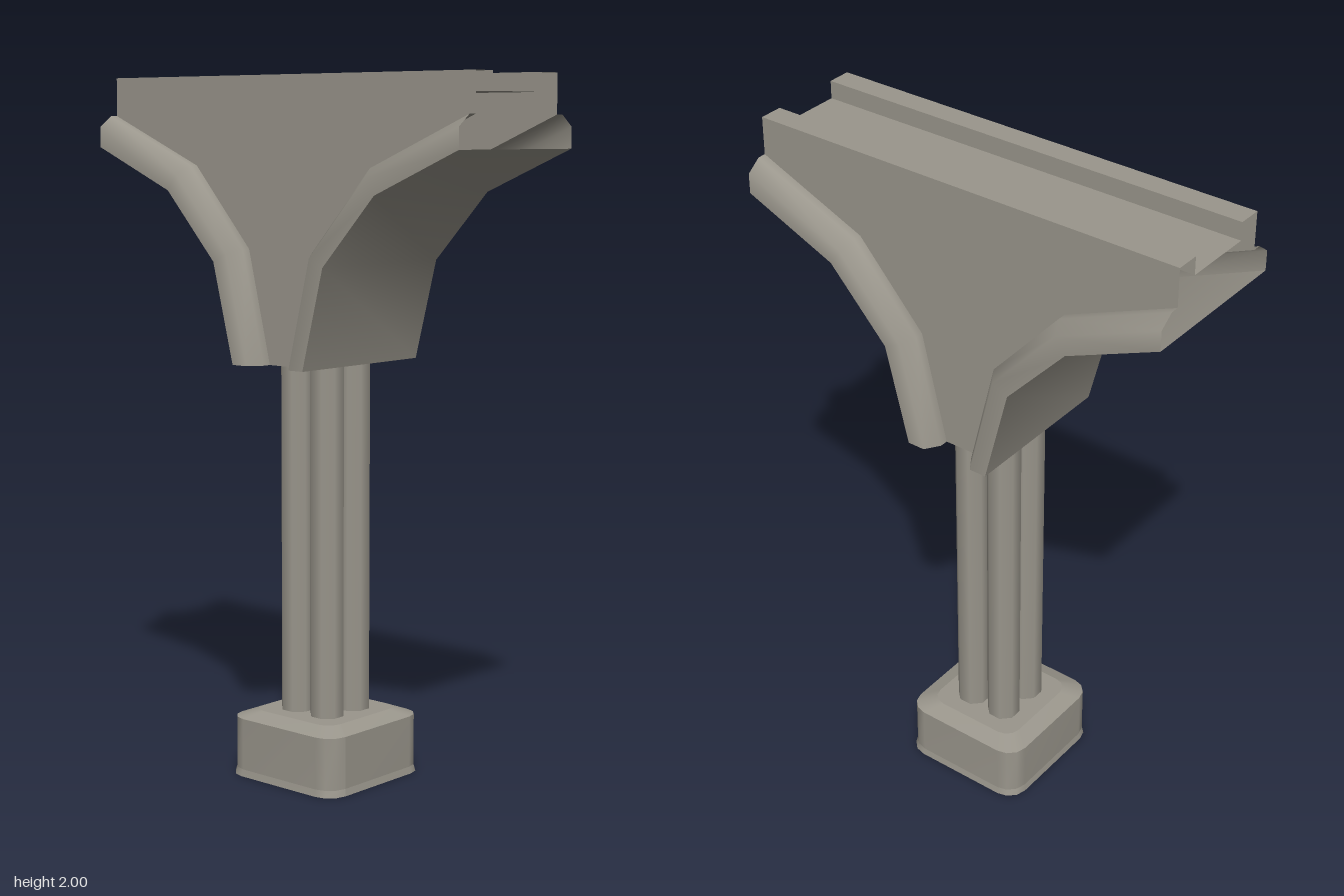
import * as THREE from 'three';

const stone = new THREE.MeshStandardMaterial({ color: 0x9a968c, side: THREE.DoubleSide });
stone.name = 'warm grey stone';

// Bracket edge, from the top outside down to the neck: panel edge and arch edge
const INNER = [[0.665, 1.89], [0.335, 1.75], [0.13, 1.52], [0.052, 1.2]];
const OUTER = [[0.665, 1.8], [0.385, 1.68], [0.205, 1.485], [0.132, 1.2]];
const PANEL_Z = 0.175, RIM_Z = 0.242;

function add(group, name, geometry) {
  const mesh = new THREE.Mesh(geometry, stone);
  mesh.name = name;
  group.add(mesh);
  return mesh;
}

// Sheet joining rows of points; smooth within the sheet unless flat
function loft(rows, flat = false) {
  const n = rows[0].length, index = [];
  for (let i = 0; i < rows.length - 1; i++) {
    for (let j = 0; j < n - 1; j++) {
      const a = i * n + j, b = a + 1, c = a + n, d = c + 1;
      index.push(a, b, c, b, d, c);
    }
  }
  let g = new THREE.BufferGeometry();
  g.setAttribute('position', new THREE.Float32BufferAttribute(rows.flat(2), 3));
  g.setIndex(index);
  if (flat) g = g.toNonIndexed();
  g.computeVertexNormals();
  return g;
}

function polygon(points) {
  return new THREE.ShapeGeometry(new THREE.Shape(points.map(p => new THREE.Vector2(...p))));
}

// Square outline with rounded corners, as a closed ring at height y
function ring(half, radius, y, steps = 3) {
  const pts = [];
  for (let k = 0; k < 4; k++) {
    const start = k * Math.PI / 2;
    const cx = (k === 0 || k === 3 ? 1 : -1) * (half - radius);
    const cz = (k < 2 ? 1 : -1) * (half - radius);
    for (let s = 0; s <= steps; s++) {
      const a = start + s / steps * Math.PI / 2;
      pts.push([cx + radius * Math.cos(a), y, cz + radius * Math.sin(a)]);
    }
  }
  pts.push(pts[0].slice());
  return pts;
}

function buildBase() {
  const base = new THREE.Group();
  base.name = 'base';
  add(base, 'baseFoot', loft([ring(0.204, 0.06, 0), ring(0.2, 0.06, 0.02)]));
  add(base, 'baseWall', loft([ring(0.2, 0.06, 0.02), ring(0.2, 0.06, 0.17)]));
  add(base, 'baseBevel', loft([ring(0.2, 0.06, 0.17), ring(0.15, 0.045, 0.19)]));
  const top = polygon(ring(0.15, 0.045, 0).slice(0, -1).map(p => [p[0], p[2]]));
  add(base, 'baseTop', top.rotateX(-Math.PI / 2).translate(0, 0.19, 0));
  return base;
}

function buildColumns() {
  const columns = new THREE.Group();
  columns.name = 'columns';
  const r = 0.046 / Math.cos(Math.PI / 8);
  for (const sx of [-1, 1]) for (const sz of [-1, 1]) {
    const g = new THREE.CylinderGeometry(r, r, 1.02, 8).rotateY(Math.PI / 8);
    add(columns, 'column', g).position.set(sx * 0.056, 0.69, sz * 0.056);
  }
  return columns;
}

function buildBracket() {
  const bracket = new THREE.Group();
  bracket.name = 'bracket';
  const mirrored = INNER.map(([x, y]) => [-x, y]);

  // Flat front and back panels
  const outline = [[-0.665, 2], ...mirrored, ...INNER.slice().reverse(), [0.665, 2]];
  add(bracket, 'frontPanel', polygon(outline).translate(0, 0, PANEL_Z));
  add(bracket, 'backPanel', polygon(outline).rotateY(Math.PI).translate(0, 0, -PANEL_Z));

  // Bevelled rims: [share of the way from panel edge to arch edge, z]
  const profile = [[0, PANEL_Z], [0, 0.2], [0.35, RIM_Z], [1, RIM_Z]];
  for (const sx of [-1, 1]) {
    add(bracket, 'archUnderside', loft(OUTER.map(([x, y]) =>
      [[sx * x, y, -sx * RIM_Z], [sx * x, y, sx * RIM_Z]])));
    for (const sz of [-1, 1]) {
      const rows = INNER.map(([x, y], i) => profile.map(([t, z]) =>
        [sx * (x + (OUTER[i][0] - x) * t), y + (OUTER[i][1] - y) * t, sz * z]));
      add(bracket, 'rim', loft(rows.map(r => sx * sz > 0 ? r : r.slice().reverse())));
      // Closed lower end of the rim
      const end = polygon([...rows[3].map(p => [p[0], p[2]]), [sx * 0.132, sz * PANEL_Z]]);
      add(bracket, 'rimEnd', end.rotateX(Math.PI / 2).translate(0, 1.2, 0));
    }
  }

  // Neck floor
  const neck = new THREE.PlaneGeometry(0.264, 2 * PANEL_Z).rotateX(Math.PI / 2);
  add(bracket, 'neckFloor', neck.translate(0, 1.2, 0));

  // Top with a shallow channel running along it
  const section = [[-PANEL_Z, 2], [-0.105, 2], [-0.105, 1.948], [0.105, 1.948], [0.105, 2], [PANEL_Z, 2]];
  add(bracket, 'channelTop', loft(section.map(([z, y]) => [[-0.665, y, z], [0.665, y, z]]).reverse(), true));
  return bracket;
}

export function createModel() {
  const model = new THREE.Group();
  model.name = 'supportPillar';
  model.add(buildBase(), buildColumns(), buildBracket());
  return model;
}
